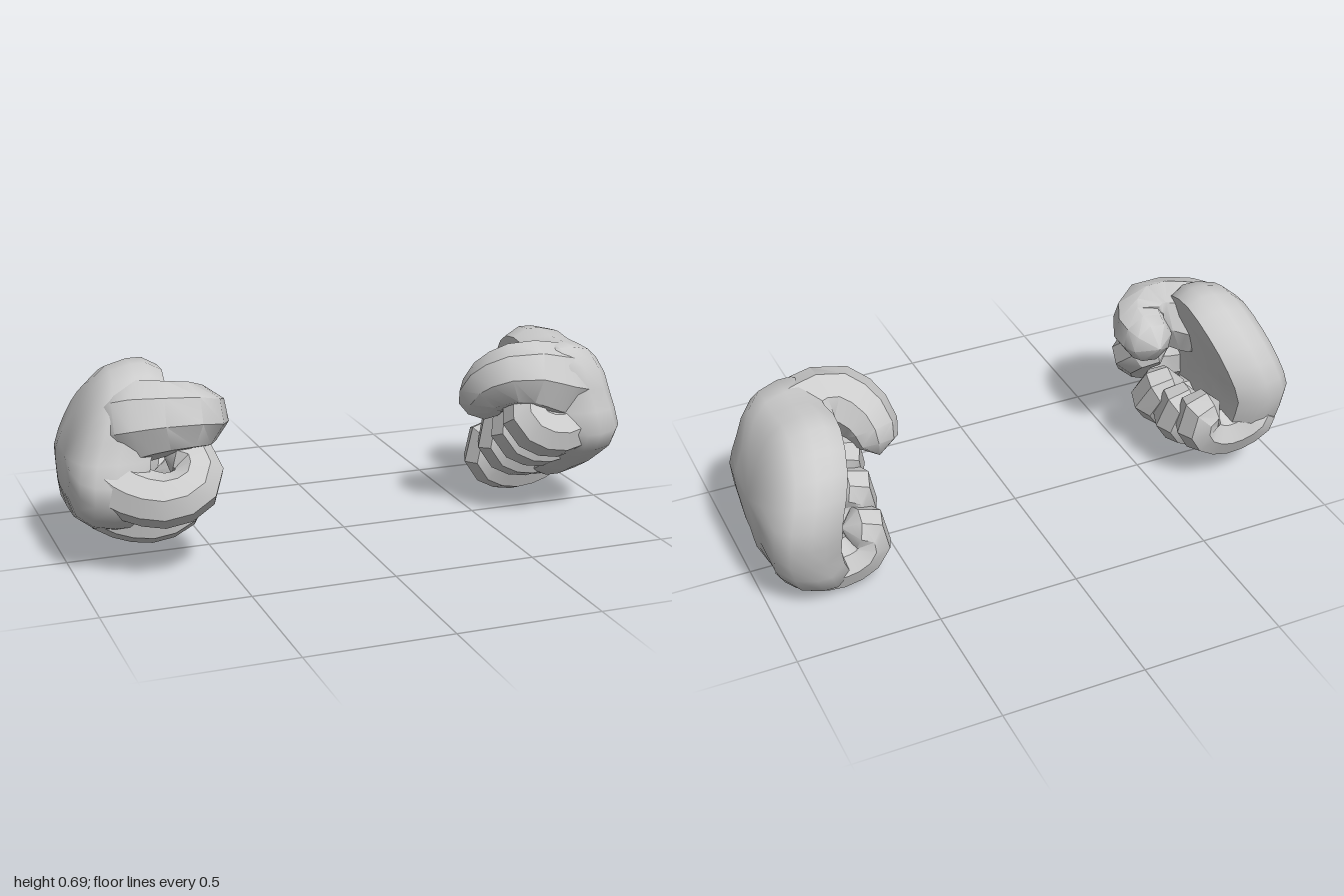
import * as THREE from 'three';
import { toCreasedNormals } from 'three/addons/utils/BufferGeometryUtils.js';

const material = new THREE.MeshStandardMaterial({ color: 0xcccccc, side: THREE.DoubleSide });

function addMesh(group, geometry, name, crease) {
  const mesh = new THREE.Mesh(toCreasedNormals(geometry, crease), material);
  mesh.name = name;
  group.add(mesh);
}

// Low-poly tube along points, tapering from one radius to another, closed by rounded ends
function limb(points, startRadius, endRadius, steps = 11, sides = 8) {
  const curve = new THREE.CatmullRomCurve3(points.map((p) => new THREE.Vector3(...p)));
  const length = curve.getLength();
  const geometry = new THREE.TubeGeometry(curve, steps, 1, sides);
  const pos = geometry.attributes.position;
  const v = new THREE.Vector3();
  for (let i = 0; i <= steps; i++) {
    const c = curve.getPointAt(i / steps);
    const radius = THREE.MathUtils.lerp(startRadius, endRadius, i / steps);
    const d = Math.min(1, (Math.min(i, steps - i) * length) / steps / radius);
    const r = radius * Math.sqrt(1 - (1 - d) ** 2);
    for (let j = 0; j <= sides; j++) {
      const k = i * (sides + 1) + j;
      v.fromBufferAttribute(pos, k).sub(c).multiplyScalar(r).add(c);
      pos.setXYZ(k, v.x, v.y, v.z);
    }
  }
  return geometry;
}

// Rounded slab: a (z, y) outline scaled through layers from the palm to the back of the hand
const layers = [[0, 0.75], [0.65, 0.75], [0.9, 0.765], [1, 0.83], [1, 0.88], [0.94, 0.945], [0.78, 0.985], [0.45, 1], [0, 1.0]];

function backOfHand(outline, side, slope) {
  const count = 24;
  const loop = new THREE.CatmullRomCurve3(outline.map(([z, y]) => new THREE.Vector3(0, y, z)), true);
  const rim = loop.getSpacedPoints(count).slice(0, count);
  const centre = rim.reduce((sum, p) => sum.add(p), new THREE.Vector3()).divideScalar(count);
  const positions = [];
  const index = [];
  layers.forEach(([scale, x], i) => {
    rim.forEach((p, j) => {
      const q = centre.clone().lerp(p, scale);
      // the top and the knuckles lean inwards
      const lean = slope * Math.max(0, q.y - 0.36) + 0.4 * Math.max(0, 0.2 - q.y);
      positions.push(side * (x - lean), q.y, q.z);
      if (i === layers.length - 1) return;
      const a = i * count + j;
      const b = i * count + ((j + 1) % count);
      const c = b + count;
      const d = a + count;
      if (side > 0) index.push(a, b, c, a, c, d);
      else index.push(a, c, b, a, d, c);
    });
  });
  const geometry = new THREE.BufferGeometry();
  geometry.setAttribute('position', new THREE.Float32BufferAttribute(positions, 3));
  geometry.setIndex(index);
  return geometry;
}

// Finger curling from the outer knuckle, underneath and up against the palm: x, y, backward bow
const curl = [[0.93, 0.2, 1], [0.84, 0.117, 0.5], [0.73, 0.09, 0], [0.645, 0.125, 0.1], [0.63, 0.19, 0.6], [0.72, 0.225, 1]];

function createHand({ name, side, slope, outline, fingers, thumb }) {
  const hand = new THREE.Group();
  hand.name = name;
  addMesh(hand, backOfHand(outline, side, slope), 'backOfHand', 0.9);
  fingers.forEach(([fingerName, z, bottom, reach, bow]) => {
    const points = curl.map(([x, y, back]) => [side * (x - reach * (0.92 - x) * 3), bottom + y, z - bow * back]);
    addMesh(hand, limb(points, 0.1, 0.08), fingerName, 0.6);
  });
  addMesh(hand, limb(thumb, 0.16, 0.08), 'thumb', 0.75);
  return hand;
}

export function createModel() {
  const model = new THREE.Group();
  model.name = 'fists';
  model.add(createHand({
    name: 'leftHand',
    side: 1,
    slope: 0.3,
    outline: [
      [0.22, 0.57], [0.23, 0.43], [0.262, 0.35], [0.23, 0.27], [0.14, 0.2], [0.02, 0.11], [-0.09, 0.09],
      [-0.18, 0.015], [-0.27, 0.055], [-0.325, 0.19], [-0.362, 0.37], [-0.31, 0.53], [-0.14, 0.642], [0.02, 0.63], [0.17, 0.63],
    ],
    fingers: [
      ['indexFinger', 0.17, 0.235, 0, 0.07],
      ['middleFinger', 0.06, 0.165, 0, 0.04],
      ['ringFinger', -0.06, 0.09, 0, 0.01],
      ['littleFinger', -0.18, 0, 0, 0],
    ],
    thumb: [[0.88, 0.46, 0.06], [0.75, 0.5, 0.11], [0.62, 0.535, 0.12], [0.535, 0.48, 0.05], [0.515, 0.36, -0.02]],
  }));
  model.add(createHand({
    name: 'rightHand',
    side: -1,
    slope: 0.36,
    outline: [
      [0.21, 0.55], [0.24, 0.42], [0.28, 0.31], [0.22, 0.2], [0.1, 0.13], [-0.05, 0.1], [-0.17, 0.12],
      [-0.24, 0.25], [-0.27, 0.4], [-0.22, 0.54], [-0.12, 0.64], [-0.03, 0.685], [0.06, 0.68], [0.16, 0.63],
    ],
    fingers: [
      ['indexFinger', 0.27, 0.185, 0.04, 0.13],
      ['middleFinger', 0.1, 0.075, 0.03, 0.06],
      ['ringFinger', -0.03, 0.06, 0, 0.03],
      ['littleFinger', -0.15, 0.09, -0.03, 0.01],
    ],
    thumb: [[-0.87, 0.48, 0.06], [-0.75, 0.515, 0.14], [-0.63, 0.53, 0.19], [-0.565, 0.51, 0.14], [-0.56, 0.5, -0.02]],
  }));
  return model;
}
